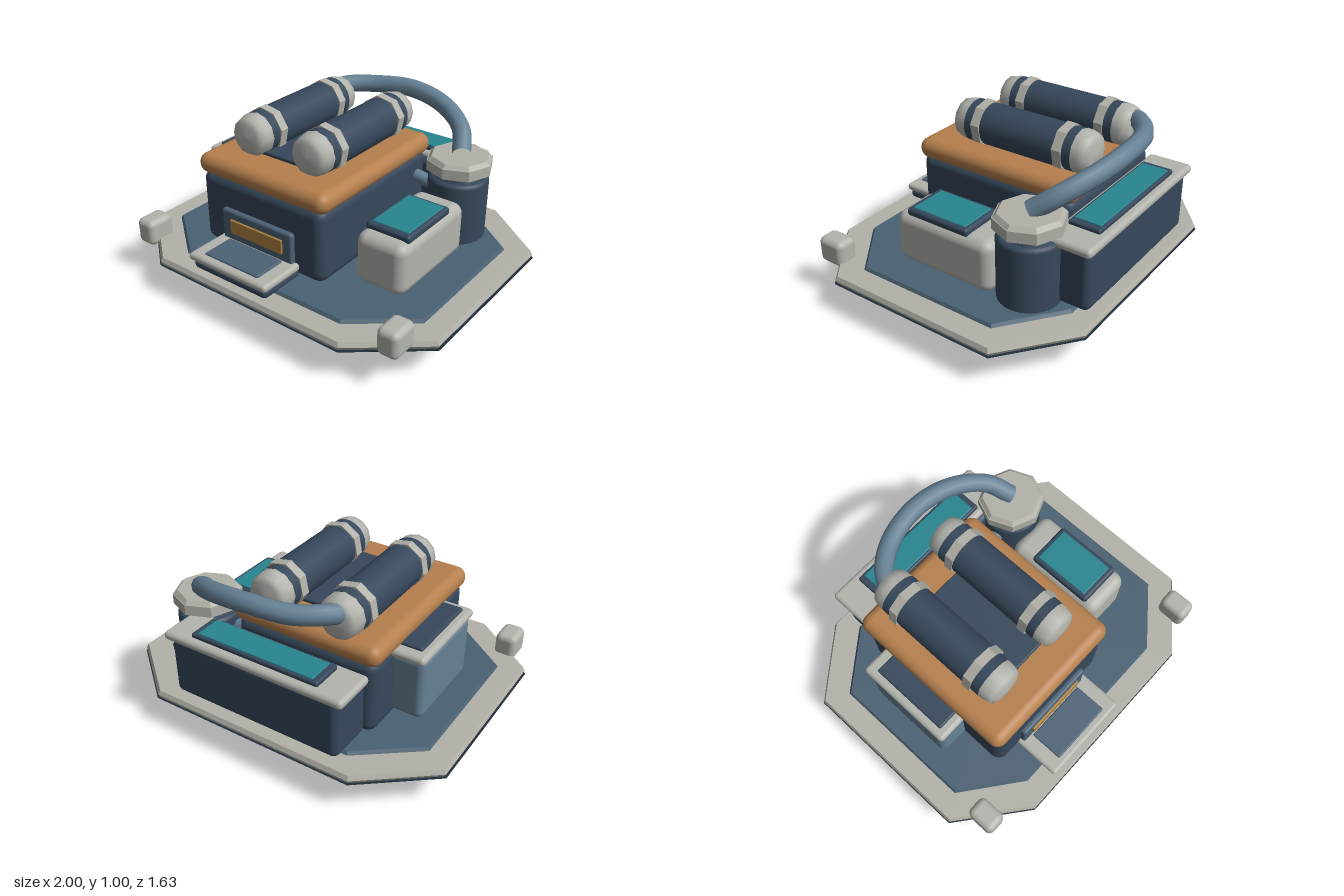
import * as THREE from 'three';
import { RoundedBoxGeometry } from 'three/addons/geometries/RoundedBoxGeometry.js';

const mat = (color, flatShading = false) => new THREE.MeshStandardMaterial({ color, flatShading });
const hullDark = mat(0x232d38, true), rimGrey = mat(0xb2b2aa, true), deckBlue = mat(0x4a6072, true);
const navy = mat(0x36485b), grey = mat(0xb4b4ae), slate = mat(0x4c6275), steel = mat(0x668195);
const orange = mat(0xb57f4d), amber = mat(0xb08340), teal = mat(0x27858f);

export function createModel() {
  const model = new THREE.Group();
  const add = (name, geometry, material, parent = model) => {
    const mesh = new THREE.Mesh(geometry, material);
    mesh.name = name;
    parent.add(mesh);
    return mesh;
  };

  // Rounded box given by its extents
  const box = (name, [x0, x1], [y0, y1], [z0, z1], r, material) => {
    const w = x1 - x0, h = y1 - y0, d = z1 - z0;
    const radius = Math.min(r, w * 0.49, h * 0.49, d * 0.49);
    const mesh = add(name, new RoundedBoxGeometry(w, h, d, 4, radius), material);
    mesh.position.set((x0 + x1) / 2, (y0 + y1) / 2, (z0 + z1) / 2);
    return mesh;
  };

  // Chamfered eight-sided slab: scales in x and z at the bottom and the top
  const slab = (name, y0, y1, bottom, top, material) => {
    const g = new THREE.CylinderGeometry(1, 1, y1 - y0, 8, 1, false, Math.PI / 8);
    const p = g.attributes.position;
    for (let i = 0; i < p.count; i++) {
      const x = p.getX(i), z = p.getZ(i), y = p.getY(i);
      if (Math.hypot(x, z) < 0.1) continue;
      const [cx, cz] = Math.abs(x) > Math.abs(z) ? [1, 0.51] : [0.62, 0.815];
      const [sx, sz] = y > 0 ? top : bottom;
      p.setXYZ(i, Math.sign(x) * cx * sx, y, Math.sign(z) * cz * sz);
    }
    g.computeVertexNormals();
    add(name, g, material).position.y = (y0 + y1) / 2;
  };

  // Base
  slab('hullBottom', 0, 0.012, [0.75, 0.74], [0.785, 0.78], hullDark);
  slab('hull', 0.012, 0.18, [0.785, 0.78], [0.99, 0.99], hullDark);
  slab('hullLip', 0.18, 0.19, [0.99, 0.99], [1, 1], hullDark);
  slab('rimLower', 0.19, 0.21, [0.985, 0.985], [0.995, 0.995], rimGrey);
  slab('rimUpper', 0.21, 0.235, [0.995, 0.995], [0.985, 0.98], rimGrey);
  slab('deckPlate', 0.235, 0.252, [0.86, 0.835], [0.85, 0.82], deckBlue);

  // Front corner bumpers
  for (const s of [-1, 1]) {
    box(s > 0 ? 'bumperLeft' : 'bumperRight', [s * 0.835 - 0.063, s * 0.835 + 0.063],
      [0.2, 0.355], [0.56, 0.73], 0.035, grey);
  }

  // Main housing with its lid
  box('housing', [-0.57, 0.28], [0.24, 0.68], [-0.5, 0.5], 0.06, navy);
  box('lid', [-0.59, 0.3], [0.655, 0.775], [-0.515, 0.51], 0.058, orange);
  box('lidPanel', [-0.34, 0.05], [0.765, 0.795], [-0.31, 0.3], 0.008, navy);

  // Front console
  box('displayFrame', [-0.395, 0.1], [0.3, 0.505], [0.49, 0.53], 0.015, slate);
  box('display', [-0.33, 0.04], [0.37, 0.457], [0.51, 0.54], 0.006, amber);
  box('trayBase', [-0.4, 0.12], [0.235, 0.295], [0.48, 0.765], 0.028, navy);
  box('tray', [-0.42, 0.13], [0.285, 0.33], [0.49, 0.778], 0.02, grey);
  box('trayScreen', [-0.335, 0.045], [0.315, 0.34], [0.54, 0.735], 0.008, slate);

  // Left pod with its screen
  box('sidePod', [0.37, 0.675], [0.24, 0.545], [-0.275, 0.35], 0.06, grey);
  box('sidePodFrame', [0.39, 0.66], [0.53, 0.577], [-0.125, 0.275], 0.018, navy);
  box('sidePodScreen', [0.413, 0.637], [0.56, 0.582], [-0.1, 0.245], 0.006, teal);

  // Rear bin
  box('rearBin', [-0.52, 0.52], [0.25, 0.61], [-0.76, -0.48], 0.04, navy);
  box('rearBinRim', [-0.557, 0.55], [0.585, 0.637], [-0.778, -0.515], 0.024, grey);
  box('rearScreenFrame', [-0.395, 0.39], [0.625, 0.66], [-0.735, -0.55], 0.012, navy);
  box('rearScreen', [-0.36, 0.355], [0.645, 0.666], [-0.72, -0.565], 0.005, teal);

  // Right bin
  box('rightBin', [-0.74, -0.5], [0.28, 0.65], [-0.3, 0.235], 0.04, steel);
  box('rightBinRim', [-0.748, -0.5], [0.632, 0.682], [-0.325, 0.255], 0.024, grey);
  box('rightBinPanel', [-0.703, -0.5], [0.67, 0.697], [-0.26, 0.205], 0.01, navy);

  // Upright drum with an eight-sided cap
  const drum = new THREE.Group();
  drum.name = 'drum';
  drum.position.set(0.535, 0, -0.425);
  model.add(drum);
  const profile = [[0, 0.24], [0.17, 0.24], [0.172, 0.255], [0.172, 0.595], [0.165, 0.612], [0.15, 0.618],
    [0.13, 0.62], [0.13, 0.67]].map(([r, y]) => new THREE.Vector2(r, y));
  add('drumBody', new THREE.LatheGeometry(profile, 32), navy, drum);
  add('drumCap', new THREE.CylinderGeometry(0.19, 0.19, 0.06, 8), rimGrey, drum).position.y = 0.686;
  add('drumCapTop', new THREE.CylinderGeometry(0.165, 0.185, 0.022, 8), rimGrey, drum).position.y = 0.727;
  const pipe = add('drumPipe', new THREE.CylinderGeometry(0.038, 0.038, 0.2, 12), steel);
  pipe.rotation.z = Math.PI / 2 - 0.15;
  pipe.position.set(0.33, 0.535, -0.39);

  // Two lying canisters, each with bands and domed ends
  const dome = [[0.121, 0], [0.119, 0.035], [0.108, 0.075], [0.075, 0.092], [0, 0.1]]
    .map(([r, y]) => new THREE.Vector2(r, y));
  for (const x of [-0.35, 0.065]) {
    const can = new THREE.Group();
    can.name = x < 0 ? 'canisterRight' : 'canisterLeft';
    can.position.set(x, 0.87, -0.08);
    can.rotation.x = Math.PI / 2;
    model.add(can);
    add('canisterBody', new THREE.CylinderGeometry(0.12, 0.12, 0.68, 24), navy, can);
    for (const s of [-1, 1]) {
      const band = add('canisterBand', new THREE.CylinderGeometry(0.133, 0.133, 0.053, 8), rimGrey, can);
      band.position.y = s * 0.262;
      band.rotation.y = 0.2;
      const end = add('canisterDome', new THREE.LatheGeometry(dome, 12), grey, can);
      end.position.y = s * 0.34;
      if (s < 0) end.rotation.x = Math.PI;
    }
  }

  // Hose from the right canister to the drum
  const path = new THREE.CatmullRomCurve3([[-0.385, 0.9, -0.41], [-0.34, 0.92, -0.53], [-0.19, 0.925, -0.64],
    [0.04, 0.935, -0.685], [0.28, 0.9, -0.65], [0.46, 0.83, -0.55], [0.54, 0.74, -0.43]]
    .map((p) => new THREE.Vector3(...p)));
  add('hose', new THREE.TubeGeometry(path, 32, 0.053, 10), steel);

  return model;
}
